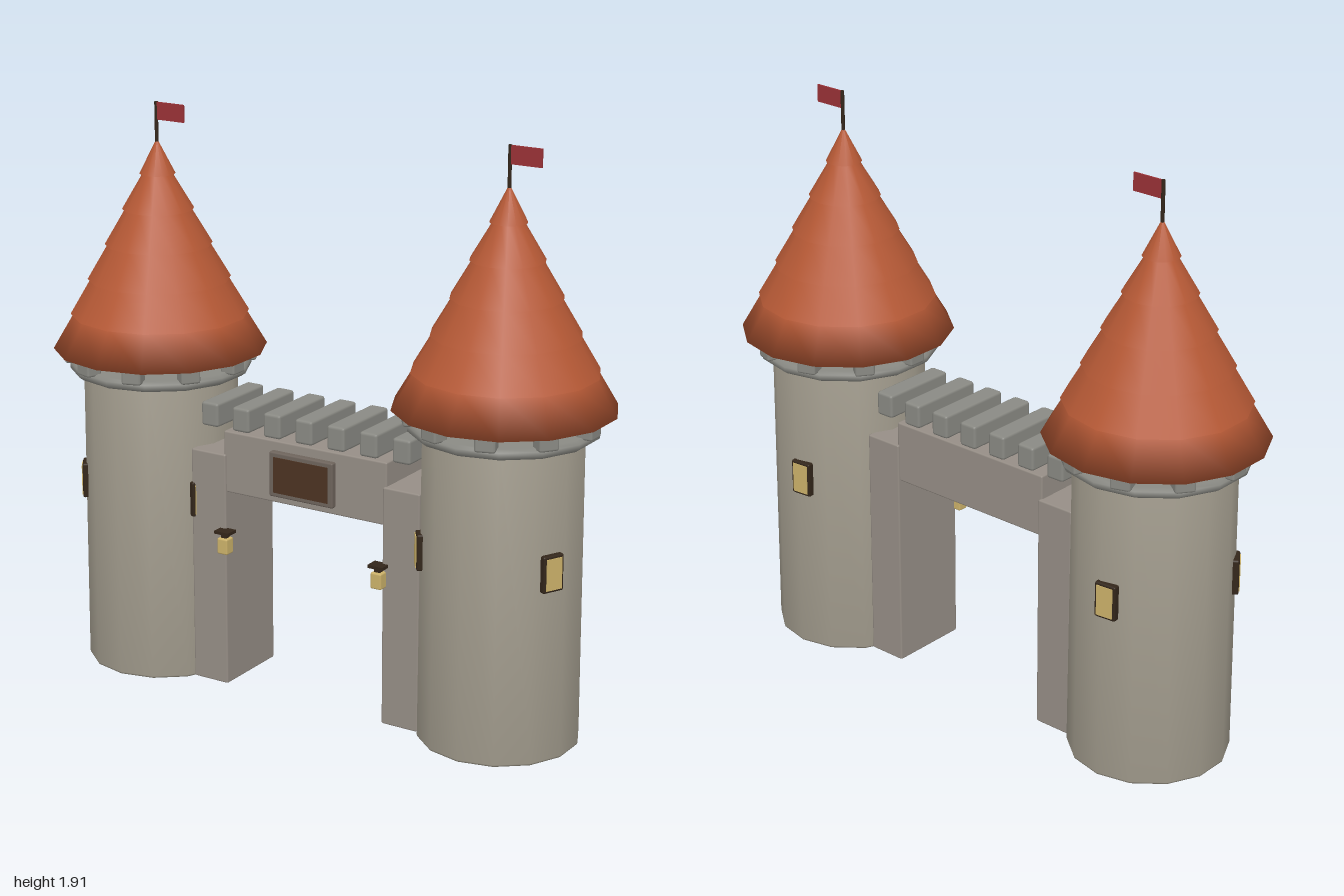
import * as THREE from 'three';
import { RoundedBoxGeometry } from 'three/addons/geometries/RoundedBoxGeometry.js';

const SIDES = 14;
const TOWER_X = 0.653;

function paint(name, color) {
  const m = new THREE.MeshStandardMaterial({ color });
  m.name = name;
  return m;
}

export function createModel() {
  const mats = {
    stone: paint('tower stone', 0x9c9688),
    gateStone: paint('gate stone', 0x968e86),
    trim: paint('grey trim', 0x8a8a84),
    tile: paint('roof tile', 0xb85a36),
    flag: paint('flag red', 0x9a3236),
    wood: paint('sign wood', 0x4c3322),
    dark: paint('dark frame', 0x33261a),
    glow: paint('warm glass', 0xccb26a),
    sign: paint('sign frame', 0x6e645c),
  };

  const add = (parent, name, geo, mat, x = 0, y = 0, z = 0) => {
    const mesh = new THREE.Mesh(geo, mat);
    mesh.name = name;
    mesh.position.set(x, y, z);
    parent.add(mesh);
    return mesh;
  };
  const rbox = (w, h, d, r = 0.006) => new RoundedBoxGeometry(w, h, d, 1, r);
  const lathe = (pts) =>
    new THREE.LatheGeometry(pts.map(([r, y]) => new THREE.Vector2(r, y)), SIDES);
  const group = (parent, name) => {
    const g = new THREE.Group();
    g.name = name;
    parent.add(g);
    return g;
  };

  const model = new THREE.Group();
  model.name = 'castleGate';

  // Overlapping tile courses, narrowing to the point
  const roofPts = [[0, 1.09]];
  const courses = 6, baseY = 1.09, tipY = 1.79, baseR = 0.355;
  for (let i = 0; i < courses; i++) {
    const r = baseR * (1 - i / courses);
    const y = baseY + (tipY - baseY) * (i / courses);
    const nextR = baseR * (1 - (i + 1) / courses);
    const nextY = baseY + (tipY - baseY) * ((i + 1) / courses);
    const last = i === courses - 1;
    roofPts.push([r, y]);
    roofPts.push([last ? 0 : nextR - 0.012, last ? nextY : nextY + 0.004]);
  }

  function buildTower(name, x) {
    const tower = group(model, name);
    tower.position.x = x;

    add(tower, 'towerWall',
      lathe([[0, 0], [0.26, 0], [0.262, 0.006], [0.256, 1.03], [0, 1.03]]), mats.stone);
    add(tower, 'parapetRing',
      lathe([[0.25, 1.01], [0.288, 1.012], [0.302, 1.022], [0.302, 1.038], [0.29, 1.048], [0, 1.048]]),
      mats.trim);

    // Ten blocks carrying the roof
    for (let i = 0; i < 10; i++) {
      const a = Math.PI / 2 + (i * Math.PI) / 5;
      const block = add(tower, 'parapetBlock', rbox(0.066, 0.07, 0.055, 0.008), mats.trim,
        0.29 * Math.sin(a), 1.075, 0.29 * Math.cos(a));
      block.rotation.y = a;
    }

    add(tower, 'tiledRoof', lathe(roofPts), mats.tile);

    // Three windows spaced evenly around the wall
    for (let i = 0; i < 3; i++) {
      const a = -0.96 + (i * Math.PI * 2) / 3;
      const win = group(tower, 'window');
      win.rotation.y = a;
      add(win, 'windowFrame', rbox(0.076, 0.12, 0.036), mats.dark, 0, 0.628, 0.252);
      add(win, 'windowPane', new THREE.BoxGeometry(0.058, 0.102, 0.008), mats.glow, 0, 0.628, 0.269);
    }

    add(tower, 'flagPole', new THREE.CylinderGeometry(0.006, 0.006, 0.15, 8), mats.dark, 0, 1.835, 0);
    add(tower, 'flag', new THREE.BoxGeometry(0.108, 0.058, 0.006), mats.flag, 0.056, 1.88, 0);
  }
  buildTower('leftTower', TOWER_X);
  buildTower('rightTower', -TOWER_X);

  // Gate pillars with hanging lanterns
  const gate = group(model, 'gate');
  for (const s of [1, -1]) {
    add(gate, 'gatePillar', rbox(0.135, 0.805, 0.28), mats.gateStone, s * 0.3675, 0.4025, 0);

    const lantern = group(gate, 'lantern');
    lantern.position.set(s * 0.295, 0, 0.152);
    const body = add(lantern, 'lanternGlass', rbox(0.04, 0.055, 0.04), mats.glow, 0, 0.498, 0);
    body.castShadow = false;
    add(lantern, 'lanternNeck', new THREE.BoxGeometry(0.02, 0.018, 0.02), mats.dark, 0, 0.533, 0);
    add(lantern, 'lanternCap', new THREE.BoxGeometry(0.056, 0.01, 0.046), mats.dark, 0, 0.545, 0);
  }

  // Bridge over the opening and its row of battlements
  add(gate, 'bridge', rbox(0.62, 0.21, 0.264), mats.gateStone, 0, 0.78, 0);
  for (let i = -3; i <= 3; i++) {
    add(gate, 'battlement', rbox(0.066, 0.082, 0.272, 0.01), mats.trim, i * 0.121, 0.931, 0);
  }

  // Blank wooden sign on the front
  add(gate, 'signFrame', rbox(0.242, 0.152, 0.03), mats.sign, 0, 0.777, 0.137);
  add(gate, 'signBoard', new THREE.BoxGeometry(0.206, 0.12, 0.008), mats.wood, 0, 0.777, 0.151);

  return model;
}
